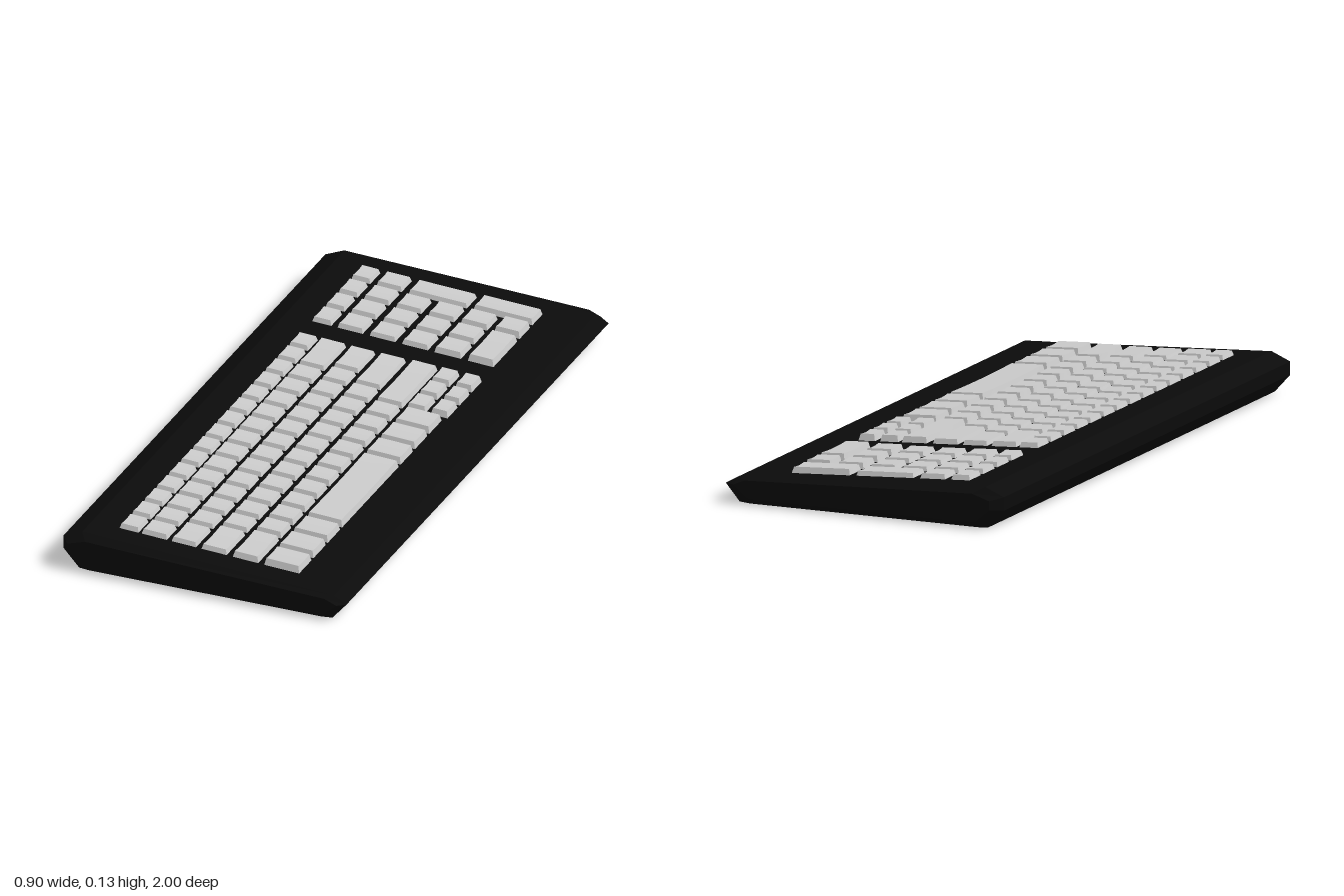
import * as THREE from 'three';
import { toCreasedNormals } from 'three/addons/utils/BufferGeometryUtils.js';

const caseMat = new THREE.MeshStandardMaterial({ color: 0x0b0b0b, flatShading: true });
const keyMat = new THREE.MeshStandardMaterial({ color: 0xcccccc });

// Sloping top plate of the case, high at the back (-x), low at the front (+x)
const plateY = x => 0.125 - (x + 0.39) * 0.0595;

// Faceted case: a wedge profile lofted along z with chamfered ends
function caseGeometry() {
  const profile = [
    [-0.4, 0.005], [-0.37, 0.002], [0.37, 0], [0.405, 0.003], [0.45, 0.055],
    [0.41, 0.077], [-0.39, 0.125], [-0.45, 0.1], [-0.45, 0.06],
  ];
  const rings = [[-1, 0.92, 0.7], [-0.975, 1, 1], [0.975, 1, 1], [1, 0.95, 0.7]];
  const n = profile.length, pos = [], idx = [];
  for (const [z, sx, sy] of rings)
    for (const [x, y] of profile) pos.push(x * sx, 0.065 + (y - 0.065) * sy, z);
  for (let r = 0; r < rings.length - 1; r++)
    for (let i = 0; i < n; i++) {
      const a = r * n + i, b = r * n + (i + 1) % n;
      idx.push(a, b, b + n, a, b + n, a + n);
    }
  const last = (rings.length - 1) * n;
  for (let i = 1; i < n - 1; i++) {
    idx.push(0, i + 1, i);
    idx.push(last, last + i, last + i + 1);
  }
  const g = new THREE.BufferGeometry();
  g.setAttribute('position', new THREE.Float32BufferAttribute(pos, 3));
  g.setIndex(idx);
  g.computeVertexNormals();
  return g;
}

// Tapered keycap with a shallow dished top, resting on the sloping plate
function keycap(x0, x1, z0, z1, rise) {
  const w = x1 - x0, d = z1 - z0, cx = (x0 + x1) / 2, cz = (z0 + z1) / 2;
  const g = new THREE.BoxGeometry(w, 1, d, 1, 1, 6);
  const p = g.attributes.position;
  for (let i = 0; i < p.count; i++) {
    let x = p.getX(i), z = p.getZ(i);
    const top = p.getY(i) > 0;
    const t = (2 * z) / d;
    if (top) {
      x *= (w - 0.014) / w;
      z *= (d - 0.014) / d;
    }
    const y = plateY(cx + x) + (top ? rise - 0.003 * (1 - t * t) : -0.008);
    p.setXYZ(i, cx + x, y, cz + z);
  }
  return toCreasedNormals(g, 0.6);
}

export function createModel() {
  const model = new THREE.Group();
  model.name = 'keyboard';

  const body = new THREE.Mesh(caseGeometry(), caseMat);
  body.name = 'case';
  model.add(body);

  const addKey = (group, name, ...box) => {
    const key = new THREE.Mesh(keycap(...box), keyMat);
    key.name = name;
    group.add(key);
  };

  // Front-to-back extent and height of each row, back row first
  const rows = [
    [-0.305, -0.24, 0.015], [-0.235, -0.15, 0.015], [-0.14, -0.057, 0.014],
    [-0.045, 0.04, 0.015], [0.055, 0.14, 0.018], [0.155, 0.27, 0.021],
  ];
  const one = n => Array(n).fill(1);
  // Key widths along each row, in key units, starting at the -z end
  const widths = [
    one(15),
    [2, ...one(13)],
    [1.6, ...one(12), 1.4],
    [2.3, ...one(11), 1.7],
    [3.1, ...one(10), 1.9],
    [1.19, 1.19, 1.19, 4.87, 1.19, 1.19, 1.19],
  ];
  const mainKeys = new THREE.Group();
  mainKeys.name = 'mainKeys';
  model.add(mainKeys);
  rows.forEach(([x0, x1, rise], r) => {
    const start = r === 5 ? -0.165 : -0.44, end = 0.91;
    const unit = (end - start) / widths[r].reduce((a, b) => a + b);
    let z = start;
    for (const w of widths[r]) {
      addKey(mainKeys, w > 4 ? 'spaceBar' : 'key', x0, x1, z + 0.005, z + w * unit - 0.006, rise);
      z += w * unit;
    }
  });

  // Small cluster of half-depth keys beside the front row
  const cluster = new THREE.Group();
  cluster.name = 'arrowKeys';
  model.add(cluster);
  for (let i = 0; i < 3; i++) {
    const z = -0.435 + i * 0.09;
    addKey(cluster, 'arrowKey', 0.148, 0.21, z, z + 0.08, 0.019);
    addKey(cluster, 'arrowKey', 0.223, 0.28, z, z + 0.078, 0.02);
  }

  // Number pad: [first column, last column, first row, last row]
  const pad = new THREE.Group();
  pad.name = 'numberPad';
  model.add(pad);
  const cols = [
    [-0.305, -0.24], [-0.225, -0.14], [-0.123, -0.037],
    [-0.02, 0.067], [0.083, 0.172], [0.19, 0.275],
  ];
  const padRows = [[-0.9, -0.82], [-0.807, -0.725], [-0.711, -0.628], [-0.615, -0.53]];
  const padKeys = [[0, 0, 0, 0], [1, 1, 0, 0], [2, 3, 0, 0], [4, 5, 0, 0], [5, 5, 1, 1], [5, 5, 2, 3]];
  for (let c = 0; c < 5; c++) for (let r = 1; r < 4; r++) padKeys.push([c, c, r, r]);
  for (const [c0, c1, r0, r1] of padKeys)
    addKey(pad, 'padKey', cols[c0][0], cols[c1][1], padRows[r0][0], padRows[r1][1], rows[c0][2]);

  return model;
}
